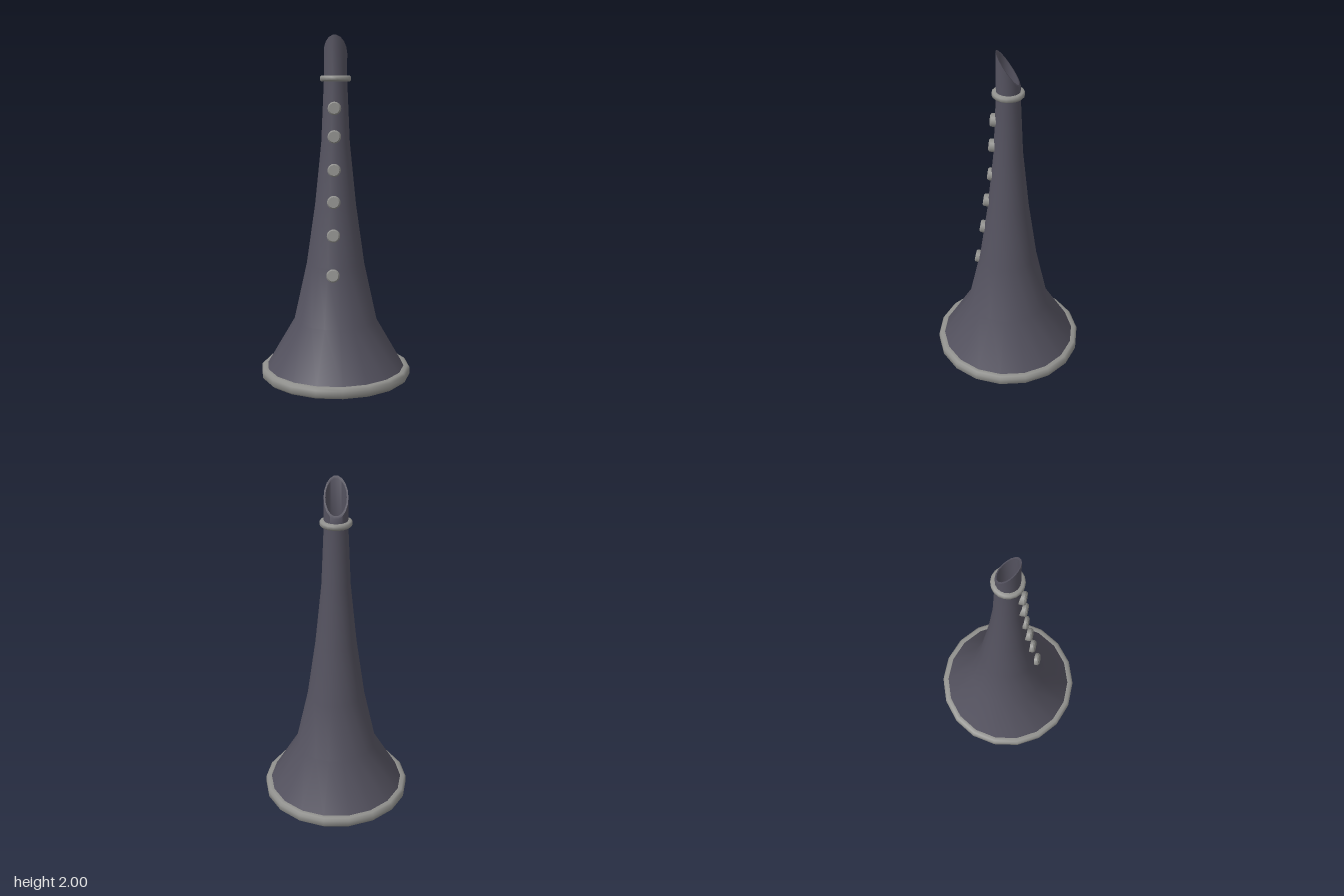
import * as THREE from 'three';
import { toCreasedNormals } from 'three/addons/utils/BufferGeometryUtils.js';

const SIDES = 18;
const dark = new THREE.MeshStandardMaterial({ color: 0x54525f, side: THREE.DoubleSide });
const metal = new THREE.MeshStandardMaterial({ color: 0x8f8f8c });

// Turn a [radius, y] profile, placing a corner on the x axis
function turn(points, sides = SIDES, start = Math.PI / 18) {
  return new THREE.LatheGeometry(points.map(([r, y]) => new THREE.Vector2(r, y)), sides, start);
}

function mesh(name, geometry, material, crease = 0.7) {
  const m = new THREE.Mesh(toCreasedNormals(geometry, crease), material);
  m.name = name;
  return m;
}

// Closed band with bevelled edges
function band(name, inner, outer, y0, y1, b) {
  return mesh(name, turn([
    [inner, y0], [outer - b, y0], [outer, y0 + b], [outer, y1 - b],
    [outer - b, y1], [inner, y1], [inner, y0],
  ]), metal, 0.9);
}

export function createModel() {
  const group = new THREE.Group();

  // Hollow flared tube: outer wall up, inner wall back down
  const outer = [[0.425, 0.03], [0.245, 0.34], [0.17, 0.68], [0.12, 1.03],
    [0.083, 1.39], [0.067, 1.75], [0.067, 1.9]];
  const inner = outer.map(([r, y]) => [r - 0.009, y]).reverse();
  const tube = turn([...outer, ...inner, outer[0]]);
  // Slant the mouth so that the front is its highest point
  const p = tube.attributes.position;
  for (let i = 0; i < p.count; i++) {
    if (p.getY(i) > 1.85) p.setY(i, 1.9 + p.getZ(i) * 1.5);
  }
  group.add(mesh('hornTube', tube, dark));

  // Rings at the bell rim and below the mouthpiece
  group.add(band('bellRim', 0.408, 0.444, 0, 0.062, 0.013));
  group.add(band('mouthpieceRing', 0.062, 0.09, 1.74, 1.772, 0.007));

  // Finger buttons down the front: height, front z, tilt
  const buttons = [[1.59, 0.1, 0.04], [1.43, 0.109, 0.06], [1.24, 0.118, 0.09],
    [1.06, 0.145, 0.12], [0.87, 0.167, 0.14], [0.645, 0.2, 0.18]];
  const button = turn([[0, -0.065], [0.038, -0.065], [0.038, -0.008], [0.031, 0], [0, 0]], 16, 0);
  button.rotateX(Math.PI / 2);
  buttons.forEach(([y, z, tilt], i) => {
    const b = mesh('button' + (i + 1), button, metal, 0.6);
    b.position.set(0, y, z);
    b.rotation.x = -tilt;
    group.add(b);
  });

  return group;
}
